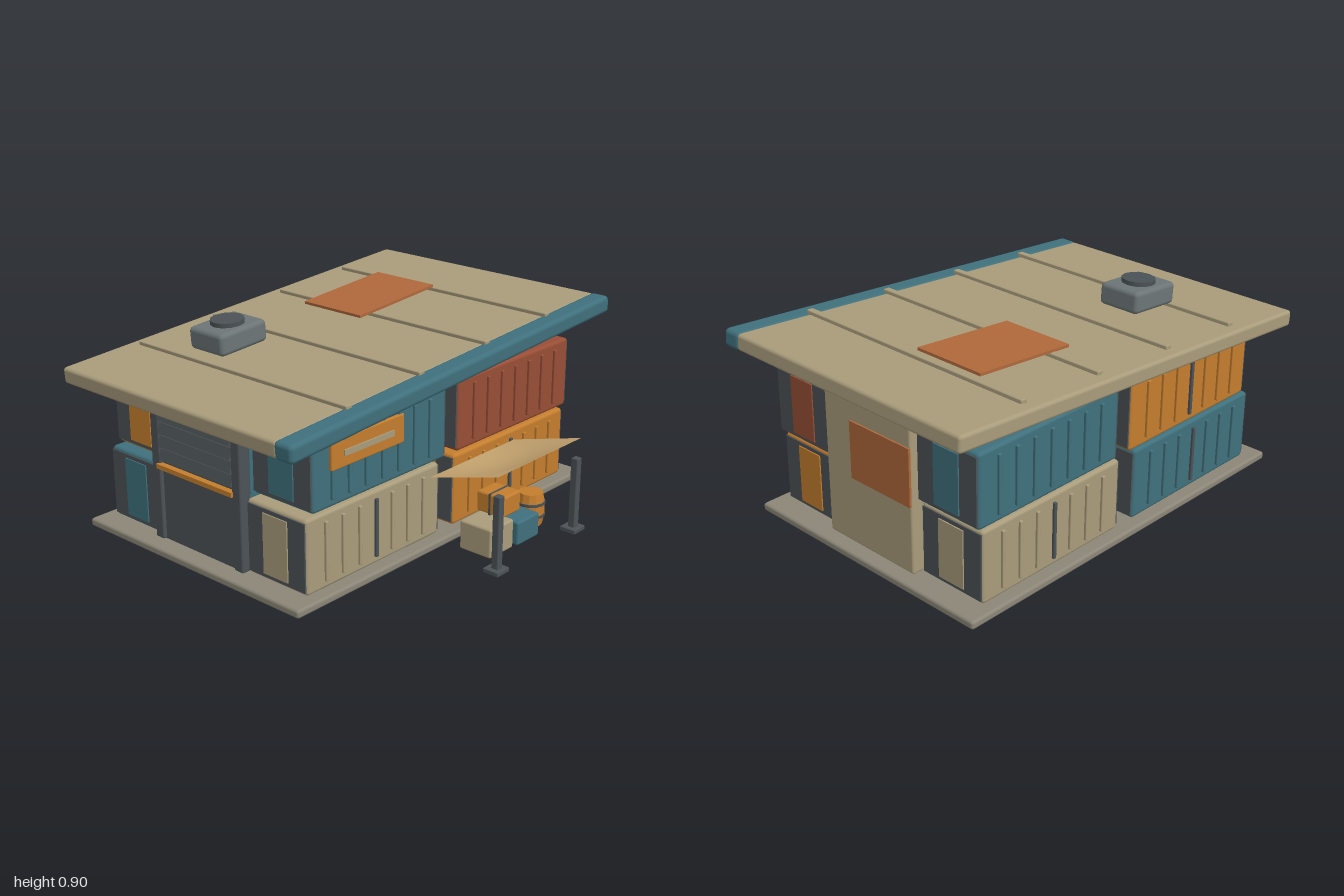
import * as THREE from 'three';
import { RoundedBoxGeometry } from 'three/addons/geometries/RoundedBoxGeometry.js';

const paint = (name, color) => {
  const m = new THREE.MeshStandardMaterial({ color });
  m.name = name;
  return m;
};

export function createModel() {
  const tan = paint('tan', 0xa99c7b);
  const teal = paint('teal', 0x3f707c);
  const red = paint('rust red', 0x984e36);
  const orange = paint('orange', 0xc47e2e);
  const dark = paint('dark grey', 0x4b5256);
  const grey = paint('metal grey', 0x6c7576);
  const patch = paint('copper', 0xb0683b);
  const stone = paint('stone', 0x8b8677);
  const cloth = paint('canvas', 0xc6a570);
  cloth.side = THREE.DoubleSide;

  const model = new THREE.Group();
  model.name = 'containerHouse';
  const group = (name, parent = model) => {
    const g = new THREE.Group();
    g.name = name;
    parent.add(g);
    return g;
  };
  const add = (parent, name, geo, mat, x, y, z) => {
    const m = new THREE.Mesh(geo, mat);
    m.name = name;
    m.position.set(x, y, z);
    parent.add(m);
    return m;
  };
  // Boxes given by centre and size; a bevel radius softens the edges
  const box = (parent, name, mat, [x, y, z], [w, h, d], r = 0) =>
    add(parent, name, r ? new RoundedBoxGeometry(w, h, d, 2, r) : new THREE.BoxGeometry(w, h, d), mat, x, y, z);

  // Foundation
  box(model, 'foundation', stone, [-0.02, 0.023, -0.15], [1.84, 0.036, 1.24], 0.012);

  // Shipping containers: shell, side ribs, dark end frames and coloured end doors
  const container = (name, mat, x, y, z, seam) => {
    const g = group(name);
    g.position.set(x, y, z);
    box(g, 'shell', mat, [0, 0, 0], [0.77, 0.315, 0.32], 0.015);
    for (const s of [-1, 1]) {
      for (let i = -3; i <= 3; i++) {
        const mid = seam && i === 0;
        box(g, mid ? 'doorSeam' : 'rib', mid ? dark : mat, [i * 0.094, 0, s * 0.162], [0.016, 0.25, 0.018], 0.004);
      }
      box(g, 'endFrame', dark, [s * 0.384, 0, 0], [0.012, 0.287, 0.305]);
      box(g, 'endDoor', mat, [s * 0.391, 0, 0], [0.009, 0.255, 0.13]);
    }
  };
  const low = 0.2, high = 0.525, front = 0.26, rear = -0.56;
  container('frontLowerRightContainer', tan, -0.455, low, front, true);
  container('frontLowerLeftContainer', orange, 0.41, low, front, true);
  container('frontUpperRightContainer', teal, -0.418, high, front, false);
  container('frontUpperLeftContainer', red, 0.43, high, front, false);
  container('rearLowerRightContainer', teal, -0.455, low, rear, true);
  container('rearLowerLeftContainer', tan, 0.41, low, rear, true);
  container('rearUpperRightContainer', orange, -0.418, high, rear, true);
  container('rearUpperLeftContainer', teal, 0.43, high, rear, false);

  // Sign board on the upper container
  box(model, 'signBoard', orange, [-0.512, 0.58, 0.428], [0.41, 0.12, 0.018], 0.006);
  box(model, 'signStripe', tan, [-0.512, 0.578, 0.439], [0.28, 0.024, 0.009]);

  // Left side wall with its patch
  box(model, 'leftWall', tan, [0.815, 0.365, -0.152], [0.06, 0.63, 0.487], 0.01);
  box(model, 'leftWallPatch', patch, [0.847, 0.473, -0.227], [0.01, 0.25, 0.333]);

  // Right side wall with louvred shutter
  const shutter = group('shutterWall');
  box(shutter, 'rightWall', dark, [-0.845, 0.35, -0.152], [0.04, 0.6, 0.48]);
  for (const z of [-0.385, 0.085])
    box(shutter, 'shutterPost', dark, [-0.853, 0.35, z], [0.056, 0.6, 0.05], 0.008);
  for (let i = 0; i < 4; i++)
    box(shutter, 'slat', dark, [-0.874, 0.425 + i * 0.056, -0.15], [0.012, 0.048, 0.42]).rotation.z = -0.25;
  box(shutter, 'sill', orange, [-0.877, 0.375, -0.15], [0.03, 0.02, 0.44]);

  // Sloping roof with front fascia, seams, patch and vent
  const roof = group('roof');
  roof.position.y = 0.75;
  roof.rotation.z = 0.067;
  box(roof, 'roofSlab', tan, [0, 0, -0.19], [1.99, 0.071, 1.24], 0.015);
  box(roof, 'fascia', teal, [0, 0, 0.462], [1.995, 0.077, 0.094], 0.02);
  for (let i = 0; i < 4; i++)
    box(roof, 'roofSeam', tan, [-0.622 + i * 0.415, 0.042, -0.157], [0.032, 0.02, 1.195], 0.005);
  box(roof, 'roofPatch', patch, [0.359, 0.059, -0.347], [0.49, 0.012, 0.335]).rotation.z = 0.012;
  box(roof, 'ventBox', grey, [-0.465, 0.112, -0.38], [0.255, 0.096, 0.2], 0.02);
  add(roof, 'ventFan', new THREE.CylinderGeometry(0.072, 0.072, 0.022, 12), dark, -0.465, 0.168, -0.38);

  // Canopy: a sheet sloping down to the wall and sagging in the middle
  const sheet = new THREE.PlaneGeometry(1, 1, 8, 8);
  const p = sheet.attributes.position;
  for (let i = 0; i < p.count; i++) {
    const u = p.getX(i) + 0.5, v = p.getY(i) + 0.5;
    const sag = 0.028 * Math.sin(Math.PI * u) * Math.sin(Math.PI * v);
    p.setXYZ(i, -0.15 + 0.56 * u, 0.418 - 0.096 * v - sag, 0.78 - 0.34 * v);
  }
  sheet.computeVertexNormals();
  add(model, 'canopy', sheet, cloth, 0, 0, 0);
  for (const x of [-0.136, 0.392]) {
    box(model, 'canopyPost', dark, [x, 0.175, 0.775], [0.033, 0.32, 0.033], 0.005);
    box(model, 'postFoot', dark, [x, 0.015, 0.772], [0.077, 0.02, 0.075], 0.004);
  }

  // Crates
  box(model, 'tanCrate', tan, [0.017, 0.066, 0.605], [0.155, 0.128, 0.16], 0.01);
  box(model, 'tealCrate', teal, [0.185, 0.056, 0.62], [0.148, 0.105, 0.15], 0.01);
  box(model, 'orangeCrate', orange, [0.095, 0.19, 0.603], [0.122, 0.09, 0.135], 0.01);
  box(model, 'crateStrap', dark, [0.095, 0.19, 0.603], [0.126, 0.094, 0.009]);

  // Barrel with two hoops
  const profile = [[0, 0], [0.052, 0], [0.061, 0.045], [0.061, 0.1], [0.052, 0.145], [0, 0.145]];
  const staves = new THREE.LatheGeometry(profile.map(([r, y]) => new THREE.Vector2(r, y)), 12).toNonIndexed();
  staves.computeVertexNormals();
  add(model, 'barrel', staves, orange, 0.343, 0, 0.587);
  for (const y of [0.045, 0.1])
    add(model, 'barrelHoop', new THREE.CylinderGeometry(0.064, 0.064, 0.012, 12), dark, 0.343, y, 0.587);

  return model;
}
